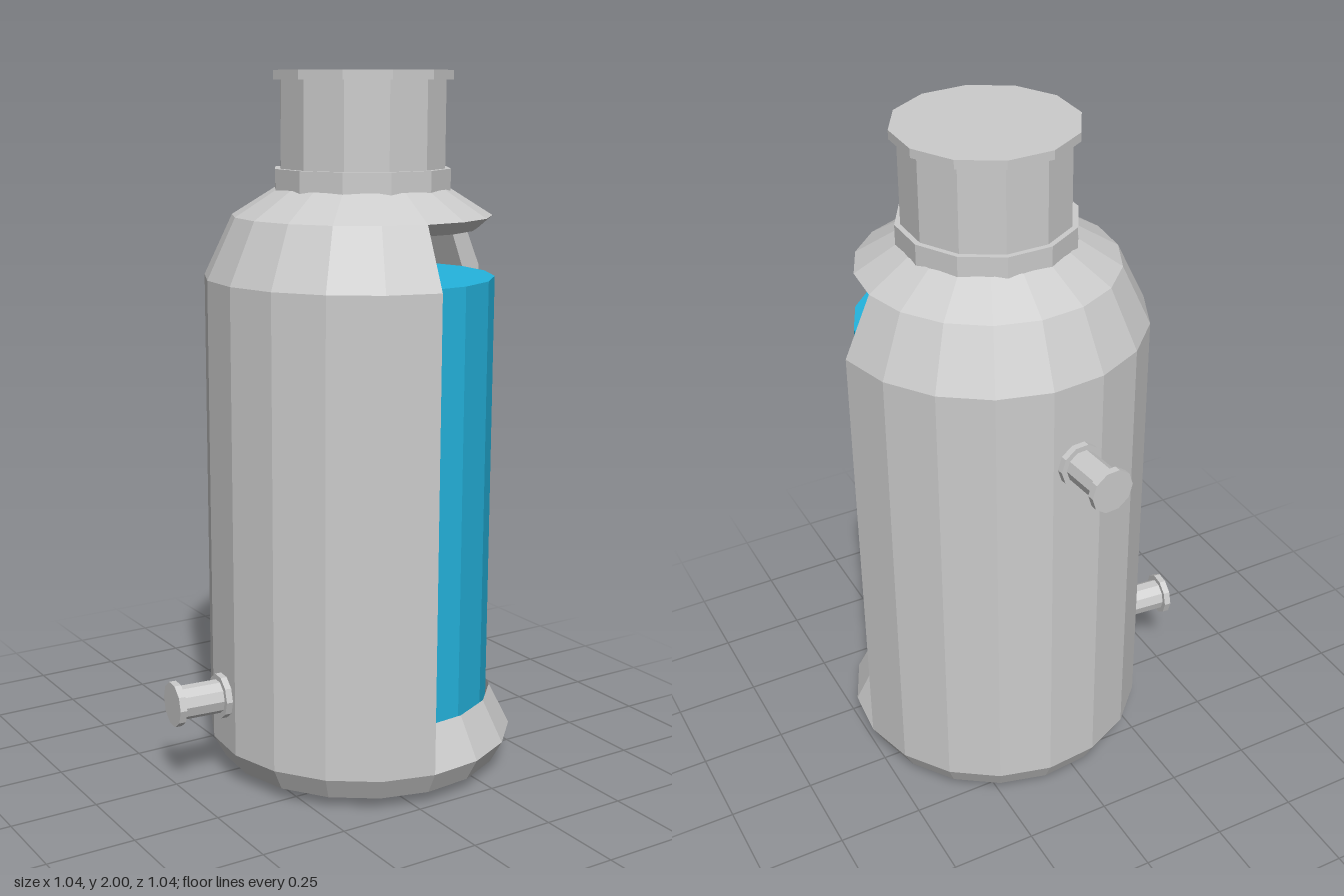
import * as THREE from 'three';

const rad = THREE.MathUtils.degToRad;
const grey = new THREE.MeshStandardMaterial({ color: 0xcccccc, flatShading: true, side: THREE.DoubleSide });
const blue = new THREE.MeshStandardMaterial({ color: 0x24b4de, flatShading: true });

const WINDOW_START = -5, WINDOW_ARC = 100, STEP = 20; // degrees around the axis

function add(parent, name, geometry, material = grey) {
  const mesh = new THREE.Mesh(geometry, material);
  mesh.name = name;
  parent.add(mesh);
  return mesh;
}

const toPoints = (list) => list.map(([r, y]) => new THREE.Vector2(r, y));

function sweep(profile, start, arc) {
  return new THREE.LatheGeometry(toPoints(profile), arc / STEP, rad(start), rad(arc));
}

function disc(radius, y0, y1, sides, offset = 0) {
  return new THREE.CylinderGeometry(radius, radius, y1 - y0, sides, 1, false, rad(offset))
    .translate(0, (y0 + y1) / 2, 0);
}

// Radial pipe with a collar at the wall and a flange at its end
function makePipe(name, y, angle) {
  const pipe = new THREE.Group();
  pipe.name = name;
  pipe.position.y = y;
  pipe.rotation.y = rad(angle);
  const parts = [['Collar', 0.064, 0.42, 0.457], ['Tube', 0.048, 0.42, 0.58], ['Flange', 0.064, 0.577, 0.597]];
  for (const [part, radius, from, to] of parts) {
    add(pipe, name + part, disc(radius, from, to, 10, 18).rotateX(Math.PI / 2));
  }
  return pipe;
}

export function createModel() {
  const model = new THREE.Group();
  model.name = 'cutawayTank';
  const tank = new THREE.Group();
  tank.name = 'tank';
  tank.position.set(0.075, 0, 0.075);
  model.add(tank);

  // Wall cross-section: base, outer side, shoulder, then back down the inside
  const base = [[0, 0], [0.27, 0], [0.345, 0.008], [0.41, 0.035], [0.445, 0.1]];
  const floor = [[0.385, 0.06], [0, 0.06]];
  const wall = [
    ...base, [0.445, 1.435], [0.365, 1.605], [0.245, 1.68],
    [0.2, 1.63], [0.325, 1.57], [0.385, 1.42], ...floor,
  ];
  add(tank, 'shell', sweep(wall, WINDOW_START + WINDOW_ARC, 360 - WINDOW_ARC));

  // Cut faces at both sides of the window
  for (const [name, angle] of [['windowJambLeft', WINDOW_START], ['windowJambRight', WINDOW_START + WINDOW_ARC]]) {
    const face = new THREE.ShapeGeometry(new THREE.Shape(toPoints(wall)));
    add(tank, name, face).rotation.y = rad(angle - 90);
  }

  // Sloping sill below the window and shoulder strip above it
  add(tank, 'windowSill', sweep([...base, [0.385, 0.22], ...floor], WINDOW_START, WINDOW_ARC));
  add(tank, 'windowShoulder',
    sweep([[0.365, 1.605], [0.245, 1.68], [0.2, 1.63], [0.325, 1.57], [0.365, 1.605]], WINDOW_START, WINDOW_ARC));

  // Contents and central rod
  add(tank, 'liquid', disc(0.375, 0.06, 1.435, 18, WINDOW_START), blue);
  add(tank, 'centreRod', disc(0.021, 0.1, 1.7, 8, 22.5));

  // Twelve-sided neck with two flanges
  add(tank, 'neckCollar', disc(0.25, 1.675, 1.735, 12, 15));
  add(tank, 'neck', disc(0.234, 1.7, 1.98, 12, 15));
  add(tank, 'neckCap', disc(0.254, 1.975, 2, 12, 15));

  // Side pipes
  tank.add(makePipe('lowerPipe', 0.255, -95));
  tank.add(makePipe('upperPipe', 1.19, -175));

  return model;
}
